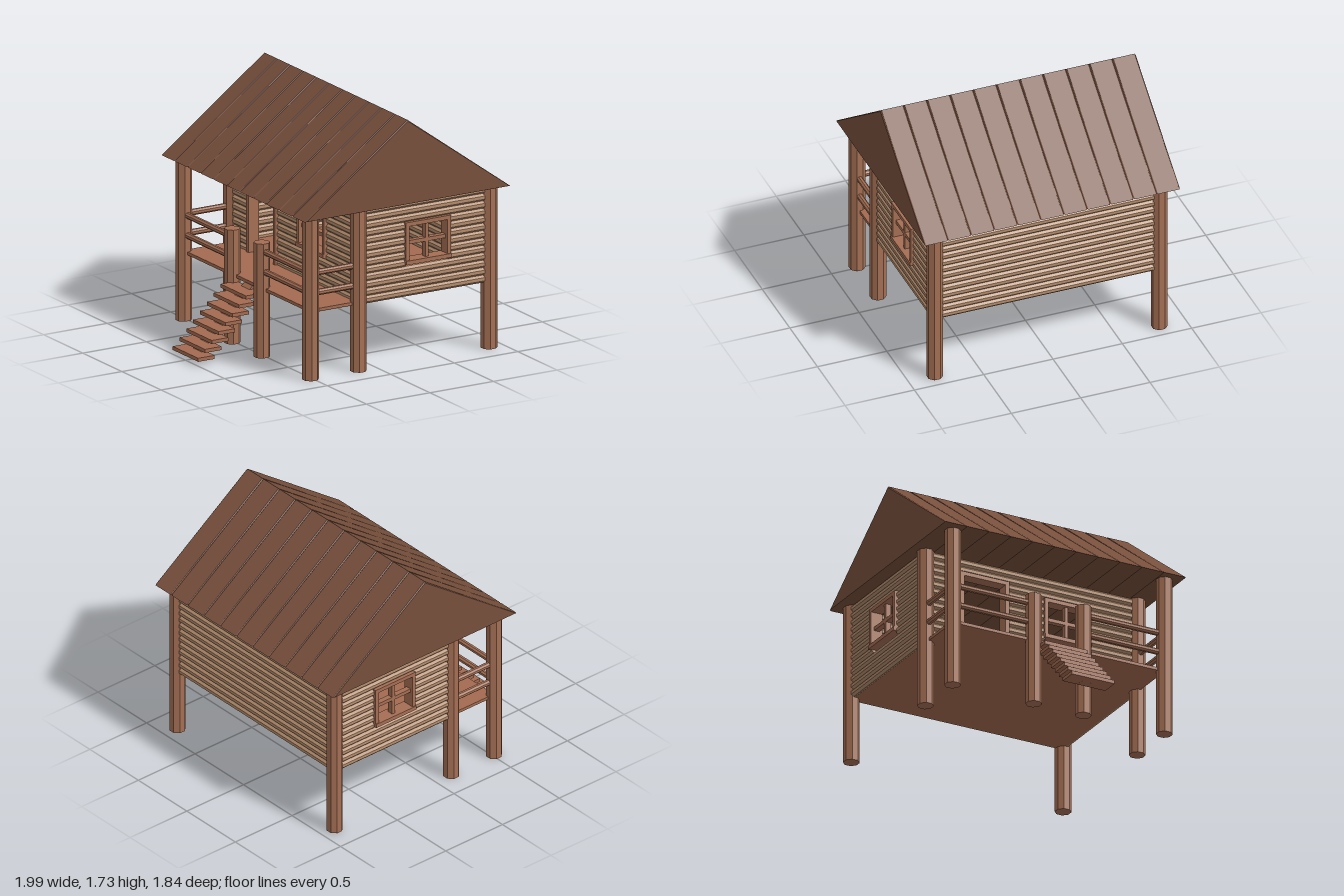
import * as THREE from 'three';

const mat = (color) => new THREE.MeshStandardMaterial({ color, flatShading: true });

const FLOOR = 0.465, EAVE = 1.14, RIDGE = 1.73;
const X_PORCH = -0.515, X_WALL = -0.135, X_RIGHT = 0.89, Z_SIDE = 0.81;

export function createModel() {
  const model = new THREE.Group();
  const timber = mat(0xa56f54), log = mat(0xb38c6c), roofWood = mat(0x774f3c), plank = mat(0xa36b50);

  const group = (name, parent = model) => {
    const g = new THREE.Group();
    g.name = name;
    parent.add(g);
    return g;
  };

  const box = (parent, name, material, w, h, d, x, y, z) => {
    const m = new THREE.Mesh(new THREE.BoxGeometry(w, h, d), material);
    m.name = name;
    m.position.set(x, y, z);
    parent.add(m);
    return m;
  };

  // Eight-sided pole between two points, flat faces square to the axes
  const pole = (parent, name, material, a, b, halfWidth) => {
    const from = new THREE.Vector3(...a), to = new THREE.Vector3(...b);
    const r = halfWidth / Math.cos(Math.PI / 8);
    const geo = new THREE.CylinderGeometry(r, r, from.distanceTo(to), 8).rotateY(Math.PI / 8);
    const m = new THREE.Mesh(geo, material);
    m.name = name;
    m.position.copy(from).add(to).multiplyScalar(0.5);
    m.quaternion.setFromUnitVectors(new THREE.Vector3(0, 1, 0), to.sub(from).normalize());
    parent.add(m);
  };

  // Tall posts under the roof, short posts beside the stairs
  const posts = group('posts');
  for (const s of [-1, 1]) {
    for (const x of [X_PORCH, X_WALL - 0.003, X_RIGHT]) {
      pole(posts, 'post', timber, [x, 0, s * Z_SIDE], [x, EAVE + 0.005, s * Z_SIDE], 0.052);
    }
    pole(posts, 'stairPost', timber, [X_PORCH, 0, s * 0.19], [X_PORCH, 0.8, s * 0.19], 0.052);
  }

  // Floor deck
  box(model, 'floor', plank, X_RIGHT - X_PORCH, 0.022, 2 * Z_SIDE,
    (X_RIGHT + X_PORCH) / 2, FLOOR + 0.009, 0);

  // Porch railings
  const railings = group('railings');
  for (const s of [-1, 1]) {
    for (const y of [0.6, 0.74]) {
      pole(railings, 'sideRail', timber, [X_PORCH, y, s * Z_SIDE], [X_WALL, y, s * Z_SIDE], 0.02);
      pole(railings, 'frontRail', timber, [X_PORCH, y, s * 0.19], [X_PORCH, y, s * Z_SIDE], 0.02);
    }
  }

  // Frame around an opening; windows also get a cross and a sill
  const frame = (parent, o) => {
    const g = group(o.door ? 'doorFrame' : 'windowFrame', parent);
    const w = o.x1 - o.x0, h = o.y1 - o.y0, cx = (o.x0 + o.x1) / 2, cy = (o.y0 + o.y1) / 2;
    const t = 0.028, depth = 0.085;
    for (const x of [o.x0 + t / 2, o.x1 - t / 2]) box(g, 'jamb', timber, t, h, depth, x, cy, 0);
    box(g, 'lintel', timber, w, t, depth, cx, o.y1 - t / 2, 0);
    if (o.door) return;
    box(g, 'sill', timber, w, t, 0.1, cx, o.y0 + t / 2, 0);
    box(g, 'upright', timber, 0.024, h - t, 0.04, cx, cy, 0);
    box(g, 'crossbar', timber, w - t, 0.026, 0.04, cx, cy, 0);
  };

  // Log wall along local x, outside facing local +z, logs cut at the openings
  const wall = (name, length, openings, x, z, turn) => {
    const g = group(name);
    g.position.set(x, 0, z);
    g.rotation.y = turn;
    const rows = 13, pitch = (EAVE - FLOOR) / rows;
    for (let i = 0; i < rows; i++) {
      const y = FLOOR + (i + 0.5) * pitch;
      let start = -length / 2;
      const cuts = openings.filter((o) => y > o.y0 && y < o.y1);
      for (const o of cuts) {
        pole(g, 'log', log, [start, y, 0], [o.x0 + 0.01, y, 0], pitch * 0.52);
        start = o.x1 - 0.01;
      }
      pole(g, 'log', log, [start, y, 0], [length / 2, y, 0], pitch * 0.52);
    }
    openings.forEach((o) => frame(g, o));
  };

  const mid = (X_WALL + X_RIGHT) / 2, width = X_RIGHT - X_WALL;
  const windowAt = (c) => ({ x0: c - 0.177, x1: c + 0.177, y0: 0.693, y1: 0.988 });
  const door = { x0: -0.56, x1: -0.19, y0: FLOOR, y1: 1.04, door: true };
  wall('frontWall', width, [windowAt(0.388 - mid)], mid, Z_SIDE, 0);
  wall('backWall', width, [windowAt(mid - 0.388)], mid, -Z_SIDE, Math.PI);
  wall('rightWall', 2 * Z_SIDE, [], X_RIGHT, 0, Math.PI / 2);
  wall('porchWall', 2 * Z_SIDE, [door, windowAt(0.26)], X_WALL, 0, -Math.PI / 2);

  // Roof of eleven solid gable slices with bevelled joints
  const roof = group('roof');
  const gable = new THREE.Shape([
    new THREE.Vector2(-0.624, EAVE), new THREE.Vector2(0.994, EAVE), new THREE.Vector2(0.185, RIDGE),
  ]);
  const slices = 11, pitch = 1.84 / slices, bevel = 0.007;
  const sliceGeo = new THREE.ExtrudeGeometry(gable, {
    depth: pitch - 2 * bevel, bevelEnabled: true, bevelSegments: 1,
    bevelThickness: bevel, bevelSize: bevel, bevelOffset: -bevel,
  });
  for (let i = 0; i < slices; i++) {
    const slice = new THREE.Mesh(sliceGeo, roofWood);
    slice.name = 'roofSlice';
    slice.position.z = -0.92 + i * pitch + bevel;
    roof.add(slice);
  }

  // Stairs: eight treads on one central sloping beam
  const stairs = group('stairs');
  for (let i = 0; i < 8; i++) {
    box(stairs, 'tread', plank, 0.13, 0.025, 0.326, -0.935 + i * 0.0537, 0.043 + i * 0.0538, 0);
  }
  const beam = new THREE.Shape([
    new THREE.Vector2(-0.93, 0.03), new THREE.Vector2(-0.87, 0.03),
    new THREE.Vector2(-0.435, FLOOR), new THREE.Vector2(-0.495, FLOOR),
  ]);
  const beamMesh = new THREE.Mesh(
    new THREE.ExtrudeGeometry(beam, { depth: 0.106, bevelEnabled: false }), plank);
  beamMesh.name = 'stairBeam';
  beamMesh.position.z = -0.053;
  stairs.add(beamMesh);

  return model;
}
